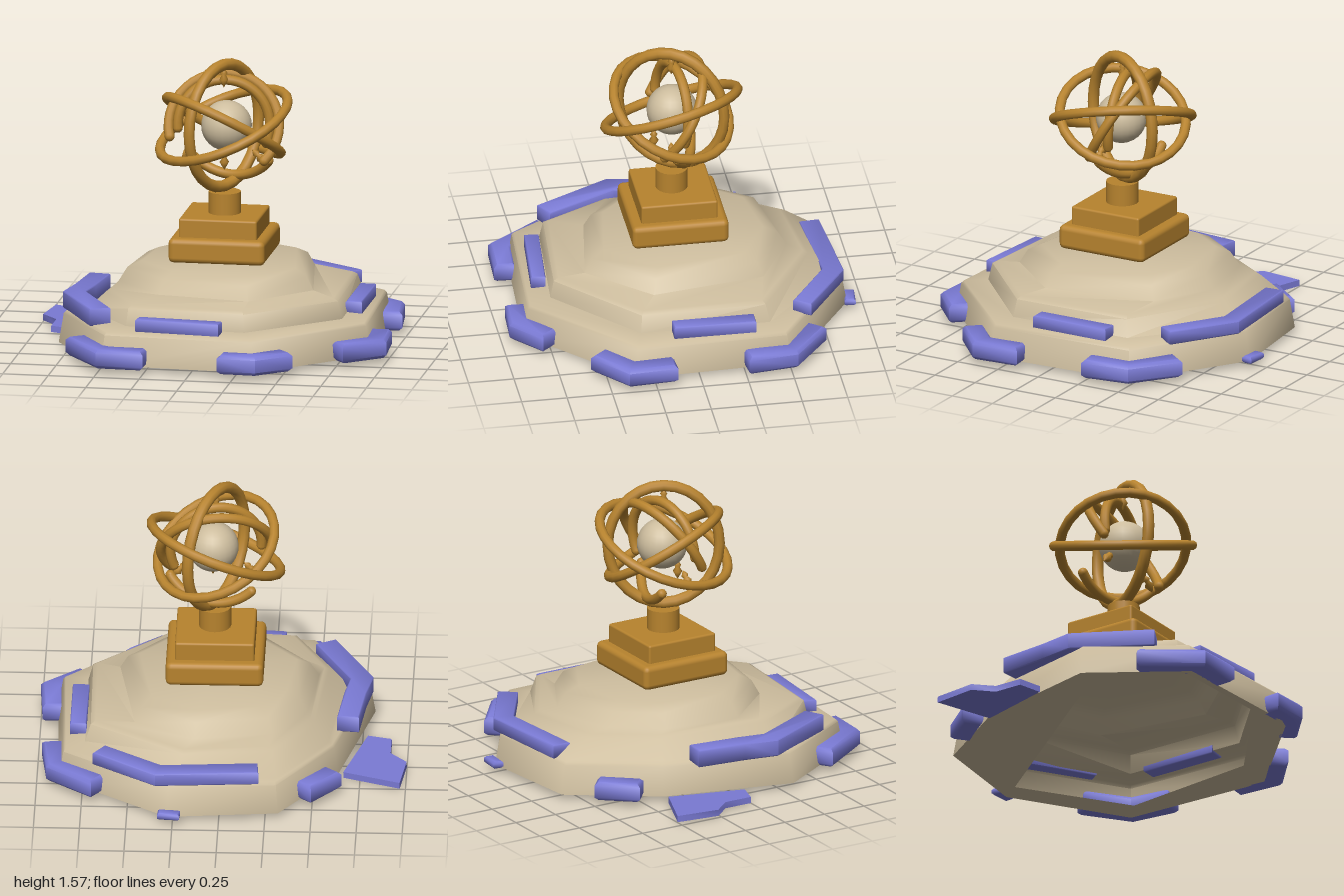
import * as THREE from 'three';
import { toCreasedNormals } from 'three/addons/utils/BufferGeometryUtils.js';
import { RoundedBoxGeometry } from 'three/addons/geometries/RoundedBoxGeometry.js';

const stone = new THREE.MeshStandardMaterial({ color: 0xcdbd9e, side: THREE.DoubleSide });
stone.name = 'sandstone';
const brass = new THREE.MeshStandardMaterial({ color: 0xb7832e });
brass.name = 'brass';
const blue = new THREE.MeshStandardMaterial({ color: 0x7a7ad4 });
blue.name = 'periwinkle blue';

const V2 = (p) => new THREE.Vector2(p[0], p[1]);

// Scale an outline about the middle of the mound
const scaled = (pts, s) => pts.map(([x, z]) => [0.06 + (x - 0.06) * s, z * s]);

// Skin between stacked outlines, closed by a fan at the top
function loft(levels, apex) {
  const pos = [], index = [], n = levels[0].pts.length;
  for (const { y, pts } of levels) for (const [x, z] of pts) pos.push(x, y, z);
  pos.push(...apex);
  const last = (levels.length - 1) * n, tip = levels.length * n;
  for (let j = 0; j < n; j++) {
    const k = (j + 1) % n;
    for (let i = 0; i < last; i += n) {
      index.push(i + j, i + n + j, i + k, i + k, i + n + j, i + n + k);
    }
    index.push(last + j, tip, last + k);
  }
  const g = new THREE.BufferGeometry();
  g.setAttribute('position', new THREE.Float32BufferAttribute(pos, 3));
  g.setIndex(index);
  return toCreasedNormals(g, 0.95);
}

// Bevelled slab with an outline in x and z, between two heights
function slab(outline, y0, y1, bevel) {
  const g = new THREE.ExtrudeGeometry(new THREE.Shape(outline.map(V2)), {
    depth: y1 - y0 - 2 * bevel, bevelEnabled: bevel > 0, bevelSize: bevel,
    bevelThickness: bevel, bevelOffset: -bevel, bevelSegments: 1,
  });
  g.rotateX(Math.PI / 2).translate(0, y1 - bevel, 0);
  return toCreasedNormals(g, 0.9);
}

// Outline of a band of even width along a path, with mitred corners
function band(path, width) {
  const p = path.map(V2), left = [], right = [];
  p.forEach((q, i) => {
    const a = q.clone().sub(p[Math.max(i - 1, 0)]).normalize();
    const b = p[Math.min(i + 1, p.length - 1)].clone().sub(q).normalize();
    const d = a.clone().add(b).normalize();
    const cos = Math.max(d.dot(a.length() ? a : b), 0.6);
    const off = new THREE.Vector2(-d.y, d.x).multiplyScalar(width / 2 / cos);
    left.push(q.clone().add(off).toArray());
    right.unshift(q.clone().sub(off).toArray());
  });
  return left.concat(right);
}

export function createModel() {
  const model = new THREE.Group();
  model.name = 'armillarySphereMonument';
  const add = (name, geometry, material, parent = model) => {
    const m = new THREE.Mesh(geometry, material);
    m.name = name;
    parent.add(m);
    return m;
  };

  // Stepped octagonal mound, hollow below; the step fades out at the back and left
  const foot = [[-0.32, -0.85], [0.28, -0.91], [0.88, -0.5], [0.91, 0.35],
    [0.35, 0.88], [-0.49, 0.83], [-0.81, 0.32], [-0.63, -0.4]];
  const step = [[-0.28, -0.66], [0.2, -0.71], [0.71, -0.39], [0.72, 0.29],
    [0.27, 0.7], [-0.37, 0.65], [-0.56, 0.28], [-0.5, -0.33]];
  const stepFoot = [[-0.31, -0.79], [0.26, -0.85], [0.74, -0.41], [0.745, 0.3],
    [0.28, 0.72], [-0.38, 0.67], [-0.66, 0.3], [-0.58, -0.37]];
  const crown = [[-0.28, -0.53], [0.14, -0.6], [0.47, -0.42], [0.57, 0.2],
    [0.27, 0.53], [-0.24, 0.45], [-0.51, 0.15], [-0.46, -0.28]];
  add('mound', loft([
    { y: 0.03, pts: foot },
    { y: 0.19, pts: scaled(foot, 0.97) },
    { y: 0.205, pts: scaled(foot, 0.955) },
    { y: 0.215, pts: stepFoot },
    { y: 0.31, pts: step },
    { y: 0.325, pts: scaled(step, 0.96) },
    { y: 0.345, pts: crown },
    { y: 0.42, pts: scaled(crown, 0.92) },
    { y: 0.455, pts: scaled(crown, 0.79) },
  ], [0.06, 0.465, 0]), stone);

  // Flat underside with its opening
  const under = new THREE.Shape(foot.map(V2));
  under.holes.push(new THREE.Path([[0.76, -0.4], [0.67, 0.38], [0.12, 0.82],
    [-0.48, 0.79], [-0.73, 0.35], [0.2, -0.8]].map(V2)));
  add('underside', new THREE.ShapeGeometry(under).rotateX(Math.PI / 2).translate(0, 0.03, 0), stone);

  // Blue blocks around the foot and the step
  const blocks = new THREE.Group();
  blocks.name = 'blueBlocks';
  model.add(blocks);
  const lower = [
    [[-0.61, -0.52], [-0.45, -0.71]],
    [[0.66, -0.68], [0.89, -0.5], [0.92, -0.25]],
    [[0.93, 0.14], [0.945, 0.38], [0.76, 0.54]],
    [[0.52, 0.76], [0.36, 0.9], [0.17, 0.89]],
    [[-0.24, 0.88], [-0.47, 0.87], [-0.67, 0.59]],
  ];
  const upper = [
    { path: [[-0.21, -0.785], [0.33, -0.825], [0.66, -0.6]], width: 0.11, top: 0.275 },
    { path: [[0.78, -0.32], [0.78, 0.13]], width: 0.09, top: 0.275 },
    { path: [[-0.31, 0.725], [0.155, 0.765]], width: 0.08, top: 0.275 },
    { path: [[-0.68, -0.23], [-0.71, 0.05], [-0.74, 0.22], [-0.53, 0.62]], width: 0.12, top: 0.295 },
  ];
  for (const p of lower) add('footBlock', slab(band(p, 0.12), 0.03, 0.135, 0.018), blue, blocks);
  for (const { path, width, top } of upper) {
    add('stepBlock', slab(band(path, width), 0.2, top, 0.006), blue, blocks);
  }
  add('smallBlock', slab(band([[0.21, -0.93], [0.33, -0.92]], 0.06), 0.03, 0.07, 0.01), blue, blocks);
  const plate = add('fallenPlate', slab([[-0.97, -0.51], [-0.66, -0.38], [-0.78, 0.03],
    [-0.91, -0.01], [-0.91, -0.17], [-1, -0.27]], 0, 0.035, 0), blue, blocks);
  plate.rotation.z = -0.03;
  plate.position.y = -0.02;

  // Two-tier pedestal and neck
  const lowerTier = add('pedestalLower', new RoundedBoxGeometry(0.53, 0.135, 0.53, 2, 0.03), brass);
  lowerTier.position.set(0.045, 0.547, 0.005);
  const upperTier = add('pedestalUpper', new RoundedBoxGeometry(0.43, 0.14, 0.42, 2, 0.012), brass);
  upperTier.position.set(0.045, 0.647, 0.005);
  const neck = add('neck', new THREE.CylinderGeometry(0.088, 0.088, 0.13, 20), brass);
  neck.position.set(0.05, 0.77, 0.015);

  // Globe inside its rings
  const sphere = new THREE.Group();
  sphere.name = 'armillary';
  sphere.position.set(0.045, 1.2, 0.015);
  model.add(sphere);
  add('globe', new THREE.SphereGeometry(0.138, 24, 16), stone, sphere).position.x = 0.015;

  const Z = new THREE.Vector3(0, 0, 1);
  const ring = (name, r, normal, arc = Math.PI * 2, start = 0, tube = 0.027) => {
    const g = new THREE.TorusGeometry(r, tube, 10, 28, arc).rotateZ(start);
    const m = add(name, g, brass, sphere);
    m.quaternion.setFromUnitVectors(Z, new THREE.Vector3(...normal).normalize());
    if (arc < 6) {
      // Rounded ends on broken rings
      for (const a of [start, start + arc]) {
        const end = new THREE.SphereGeometry(tube, 10, 8);
        end.translate(r * Math.cos(a), r * Math.sin(a), 0);
        add('ringEnd', end, brass, m);
      }
    }
    return m;
  };
  ring('outerRing', 0.375, [-0.38, 1, 0.25]);
  ring('crossRing', 0.345, [0.45, 1, -0.42]);
  ring('meridianRing', 0.337, [0.88, 0, 0.48], Math.PI * 2, 0, 0.032).scale.x = 0.9;
  ring('brokenRing', 0.3, [0.12, 0.6, 1], 4.1, -0.7);
  ring('innerRing', 0.25, [0.2, 0.08, 1], 3.6, -0.4);
  ring('brokenLowerRing', 0.31, [-0.3, -0.35, 1], 1.7, 3.95);

  // Small turned spindles on the ring axes
  const profile = [[0, -0.055], [0.012, -0.035], [0.026, -0.01], [0.012, 0.012],
    [0.02, 0.025], [0.01, 0.042], [0, 0.055]].map(V2);
  const spindle = new THREE.LatheGeometry(profile, 10);
  const spots = [[0, 0.265, 0, 0], [0.2, -0.16, 0.03, 0.8], [-0.19, -0.15, 0.03, -0.8], [0.02, -0.17, 0.1, 0]];
  for (const [x, y, z, tilt] of spots) {
    const s = add('spindle', spindle, brass, sphere);
    s.position.set(x, y, z);
    s.rotation.z = tilt;
  }
  return model;
}
